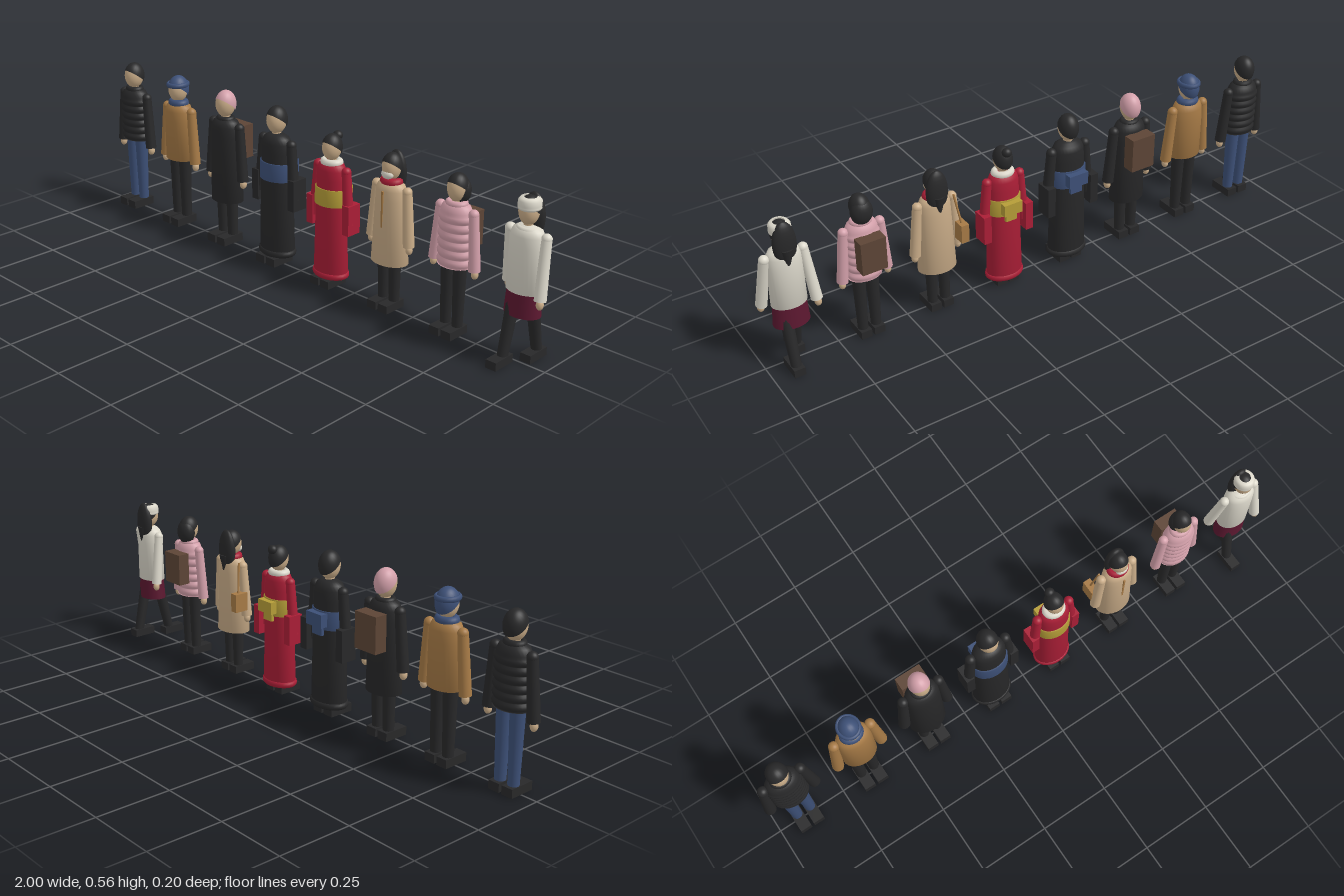
import * as THREE from 'three';

const mat = (name, color) => {
  const m = new THREE.MeshStandardMaterial({ color, side: THREE.DoubleSide });
  m.name = name;
  return m;
};

export function createModel() {
  const charcoal = mat('charcoal', 0x282829), denim = mat('denim blue', 0x3d5077);
  const mustard = mat('mustard', 0xa67a46), pink = mat('pink', 0xd3a0aa);
  const beige = mat('skin beige', 0xc9ac88), red = mat('red', 0xaa1e36);
  const gold = mat('gold', 0xb59d38), cream = mat('cream', 0xdcd8cb);
  const burgundy = mat('burgundy', 0x5c1830), brown = mat('brown', 0x5d4536);

  const add = (g, name, geo, m, x = 0, y = 0, z = 0) => {
    const mesh = new THREE.Mesh(geo, m);
    mesh.name = name;
    mesh.position.set(x, y, z);
    g.add(mesh);
    return mesh;
  };
  const box = (g, name, m, w, h, d, x, y, z) => add(g, name, new THREE.BoxGeometry(w, h, d), m, x, y, z);
  const ball = (g, name, m, rx, ry, rz, x, y, z) =>
    add(g, name, new THREE.SphereGeometry(1, 20, 14).scale(rx, ry, rz), m, x, y, z);
  const ring = (g, name, m, r, tube, y, tall = 1, depth = 0.85, z = 0) =>
    add(g, name, new THREE.TorusGeometry(r, tube, 10, 28).rotateX(Math.PI / 2).scale(1, tall, depth), m, 0, y, z);

  // Elliptical turned body from [radius, height] pairs, listed bottom to top
  const turned = (g, name, m, pts, depth = 0.74) =>
    add(g, name, new THREE.LatheGeometry(pts.map(p => new THREE.Vector2(...p)), 28).scale(1, 1, depth), m);

  // Tapered limb between two points
  const limb = (g, name, m, a, b, ra, rb) => {
    const A = new THREE.Vector3(...a), B = new THREE.Vector3(...b), dir = A.clone().sub(B);
    const mesh = add(g, name, new THREE.CylinderGeometry(ra, rb, dir.length(), 16), m);
    mesh.position.copy(A).add(B).multiplyScalar(0.5);
    mesh.quaternion.setFromUnitVectors(new THREE.Vector3(0, 1, 0), dir.normalize());
  };

  // Close-fitting cap of hair or cloth, tilted back to leave the face open
  const cap = (g, name, m, r = 1.07) =>
    add(g, name, new THREE.SphereGeometry(1, 24, 14, 0, Math.PI * 2, 0, 1.62)
      .rotateX(-0.55).scale(0.033 * r, 0.046 * r, 0.037 * r), m, 0, 0.513, -0.001);

  const shoulders = [[0.06, 0.4], [0.058, 0.435], [0.05, 0.453], [0.034, 0.463], [0.016, 0.468], [0, 0.468]];

  // Shared figure: head, arms, legs, shoes and upper garment
  function person(name, o) {
    const g = new THREE.Group();
    g.name = name;
    const stride = o.stride || 0, swing = o.swing || 0;
    ball(g, 'head', beige, 0.033, 0.047, 0.037, 0, 0.513, 0);
    limb(g, 'neck', beige, [0, 0.49, 0], [0, 0.45, 0], 0.015, 0.017);
    cap(g, o.capName || 'hair', o.cap || charcoal, o.capSize);
    for (const s of [-1, 1]) {
      const side = s > 0 ? 'left' : 'right';
      const foot = -s * stride, hand = s * swing;
      limb(g, side + 'Leg', o.legs || charcoal, [s * 0.025, 0.28, 0], [s * 0.025, 0.025, foot], 0.024, 0.018);
      box(g, side + 'Shoe', charcoal, 0.04, 0.029, 0.09, s * 0.025, 0.0145, foot + 0.016);
      limb(g, side + 'Sleeve', o.top, [s * 0.067, 0.436, -0.003], [s * 0.083, 0.245, hand], 0.017, 0.02);
      ball(g, side + 'Shoulder', o.top, 0.0175, 0.0175, 0.0175, s * 0.067, 0.436, -0.003);
      ball(g, side + 'Hand', beige, 0.012, 0.017, 0.013, s * 0.085, 0.234, hand * 1.1);
    }
    const body = [[0, o.hem], [o.flare || 0.061, o.hem]];
    if (o.puffer) {
      // Quilted rolls
      const n = 6, h = (0.43 - o.hem) / n;
      for (let i = 0; i < n; i++)
        for (const [t, r] of [[0.04, 0.057], [0.25, 0.062], [0.5, 0.064], [0.75, 0.062], [0.96, 0.057]])
          body.push([r, o.hem + (i + t) * h]);
      turned(g, 'pufferJacket', o.top, [...body, ...shoulders.slice(1)]);
    } else {
      turned(g, o.garment || 'jacket', o.top, [...body, ...shoulders]);
    }
    return g;
  }

  // Sash, back knot, hanging sleeves and padded hem for the robes
  function robeDetails(g, m, sash) {
    turned(g, 'sash', sash, [[0.06, 0.305], [0.067, 0.306], [0.066, 0.368], [0.058, 0.369]], 0.76);
    box(g, 'sashKnot', sash, 0.074, 0.045, 0.026, 0, 0.342, -0.057);
    box(g, 'sashTail', sash, 0.045, 0.07, 0.012, 0, 0.322, -0.05);
    ring(g, 'paddedHem', m, 0.066, 0.009, 0.04, 1.3, 0.74);
    for (const s of [-1, 1])
      box(g, 'hangingSleeve', m, 0.03, 0.11, 0.06, s * 0.087, 0.265, -0.008);
  }

  function backpack(g, y) {
    box(g, 'backpack', brown, 0.092, 0.122, 0.046, 0, y, -0.063);
  }

  const longHair = g => {
    ball(g, 'longHair', charcoal, 0.041, 0.08, 0.023, 0, 0.487, -0.024);
    limb(g, 'hairEnds', charcoal, [0, 0.47, -0.03], [0, 0.412, -0.034], 0.024, 0.01);
  };

  // Man in a black quilted jacket and jeans
  const p1 = person('manInPuffer', { top: charcoal, legs: denim, hem: 0.267, puffer: true });
  ring(p1, 'collar', charcoal, 0.027, 0.01, 0.462, 1.2);

  // Man in a mustard jacket with knitted hat and scarf
  const p2 = person('manInMustardJacket', { top: mustard, hem: 0.25, cap: denim, capName: 'knitHat', capSize: 1.1 });
  ring(p2, 'hatBrim', denim, 0.034, 0.006, 0.532, 1.5, 1.1);
  ring(p2, 'scarf', denim, 0.028, 0.013, 0.463, 1.1);

  // Man in a long black coat with backpack
  const p3 = person('manInLongCoat', { top: charcoal, hem: 0.157, flare: 0.066, garment: 'longCoat', cap: pink, capName: 'pinkCap' });
  ring(p3, 'collar', charcoal, 0.026, 0.01, 0.461);
  backpack(p3, 0.37);

  // Man in a dark robe with a blue sash
  const p4 = person('manInRobe', { top: charcoal, hem: 0.03, flare: 0.07, garment: 'robe' });
  robeDetails(p4, charcoal, denim);

  // Woman in a red robe with fur collar and bun
  const p5 = person('womanInRobe', { top: red, hem: 0.03, flare: 0.07, garment: 'robe' });
  robeDetails(p5, red, gold);
  ring(p5, 'furCollar', cream, 0.03, 0.014, 0.46, 1);
  ball(p5, 'hairBun', charcoal, 0.018, 0.017, 0.017, 0, 0.55, -0.029);

  // Woman in a beige coat with scarf, face mask and shoulder bag
  const p6 = person('womanInBeigeCoat', { top: beige, hem: 0.17, flare: 0.072, garment: 'coat' });
  longHair(p6);
  ring(p6, 'scarf', red, 0.028, 0.014, 0.462, 1.1);
  ball(p6, 'faceMask', cream, 0.024, 0.017, 0.016, 0, 0.491, 0.023);
  box(p6, 'coatPlacket', mustard, 0.007, 0.13, 0.008, 0, 0.37, 0.044);
  box(p6, 'shoulderBag', mustard, 0.03, 0.07, 0.055, -0.083, 0.305, -0.035);
  limb(p6, 'bagStrap', mustard, [-0.065, 0.45, -0.02], [-0.083, 0.33, -0.04], 0.004, 0.004);

  // Woman in a pink quilted jacket with backpack
  const p7 = person('womanInPinkPuffer', { top: pink, hem: 0.245, puffer: true });
  ball(p7, 'bobHair', charcoal, 0.039, 0.048, 0.032, 0, 0.502, -0.014);
  ring(p7, 'collar', pink, 0.028, 0.012, 0.46);
  backpack(p7, 0.365);

  // Walking woman in a cream jacket and burgundy skirt
  const p8 = person('walkingWoman', { top: cream, hem: 0.247, flare: 0.062, stride: 0.057, swing: 0.033 });
  turned(p8, 'skirt', burgundy, [[0.064, 0.167], [0.057, 0.26]], 0.74);
  longHair(p8);
  ring(p8, 'collar', cream, 0.03, 0.011, 0.452, 1.1);
  turned(p8, 'headband', cream,
    [[0.034, 0.519], [0.037, 0.523], [0.037, 0.527], [0.036, 0.53], [0.037, 0.534], [0.036, 0.548], [0.03, 0.556], [0.02, 0.558]], 1.06);

  // Line the figures up in a row
  const model = new THREE.Group();
  model.name = 'rowOfPeople';
  [p1, p2, p3, p4, p5, p6, p7, p8].forEach((p, i) => {
    p.position.set(-0.897 + i * 0.2567, 0, -0.012);
    if (i > 3) p.scale.setScalar(0.932);
    model.add(p);
  });
  return model;
}
